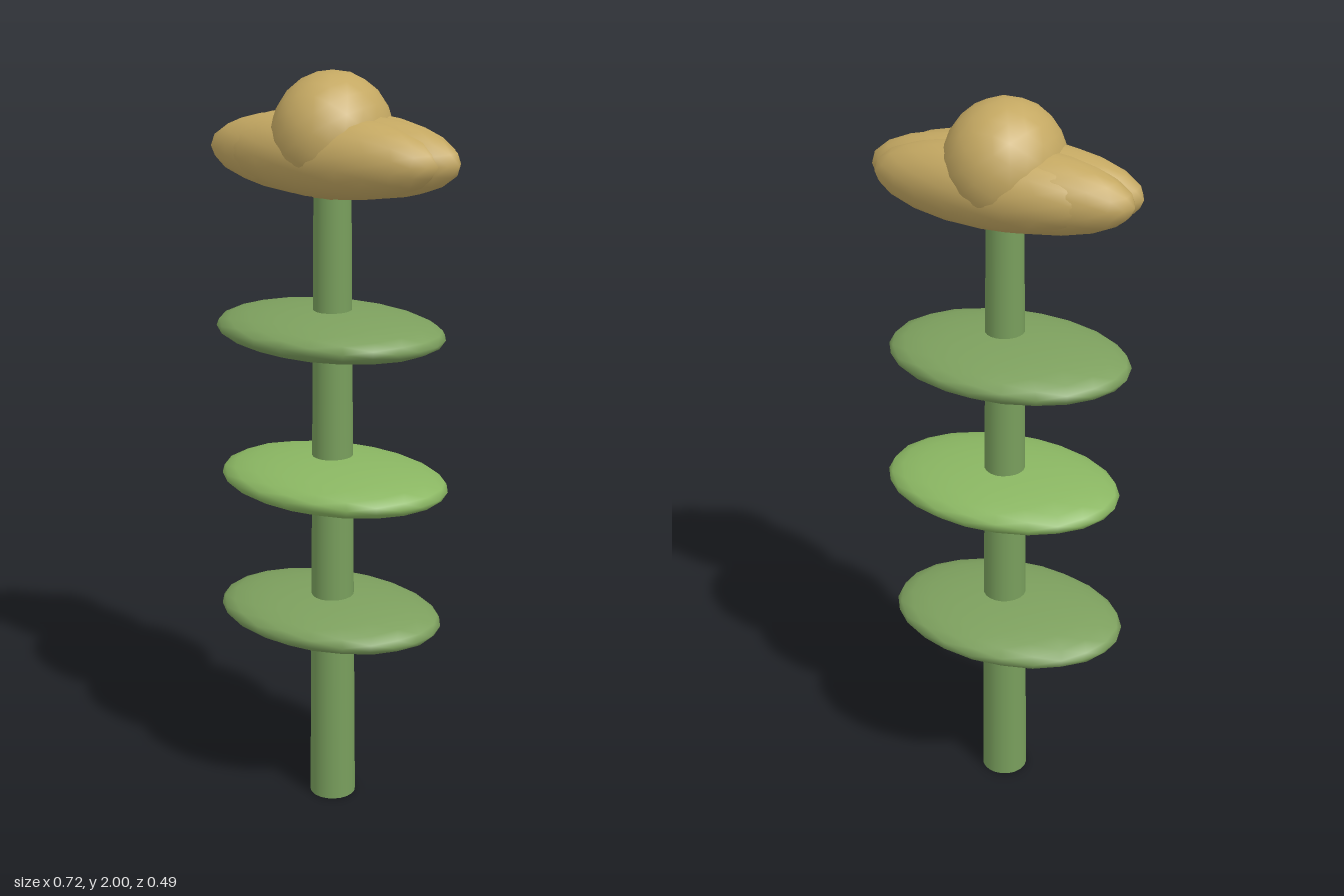
import * as THREE from 'three';

export function createModel() {
  const flower = new THREE.Group();
  flower.name = 'flower';
  const stemGreen = new THREE.MeshStandardMaterial({ color: 0x789e5c });
  const leafGreen = new THREE.MeshStandardMaterial({ color: 0x7da05e });
  const lightGreen = new THREE.MeshStandardMaterial({ color: 0x8ab662 });
  const gold = new THREE.MeshStandardMaterial({ color: 0xc4a862 });

  // Smooth, fairly low-poly ball shared by leaves, petals and centre
  const ball = new THREE.IcosahedronGeometry(1, 3);

  function add(name, geometry, material, position, scale = [1, 1, 1], parent = flower) {
    const mesh = new THREE.Mesh(geometry, material);
    mesh.name = name;
    mesh.position.set(...position);
    mesh.scale.set(...scale);
    parent.add(mesh);
    return mesh;
  }

  // Tapered stem
  add('stem', new THREE.CylinderGeometry(0.048, 0.063, 1.74, 20), stemGreen, [-0.003, 0.87, 0]);

  // Flat oval leaves, nudged alternately to either side of the stem
  for (let i = 0; i < 3; i++) {
    const middle = i === 1;
    add('leaf' + (i + 1), ball, middle ? lightGreen : leafGreen,
      [middle ? 0.01 : -0.02, 0.54 + i * 0.396, middle ? 0.015 : -0.012], [0.324, 0.062, 0.232]);
  }

  // Five overlapping petals, all stretched along x
  const petals = new THREE.Group();
  petals.name = 'petals';
  flower.add(petals);
  for (let i = 0; i < 5; i++) {
    const a = (i / 5) * Math.PI * 2;
    add('petal' + (i + 1), ball, gold,
      [0.047 * Math.cos(a), 1.793, 0.047 * Math.sin(a)], [0.316, 0.105, 0.108], petals);
  }

  // Round flower centre
  add('flowerCentre', ball, gold, [-0.003, 1.838, 0], [0.153, 0.162, 0.163]);

  return flower;
}
